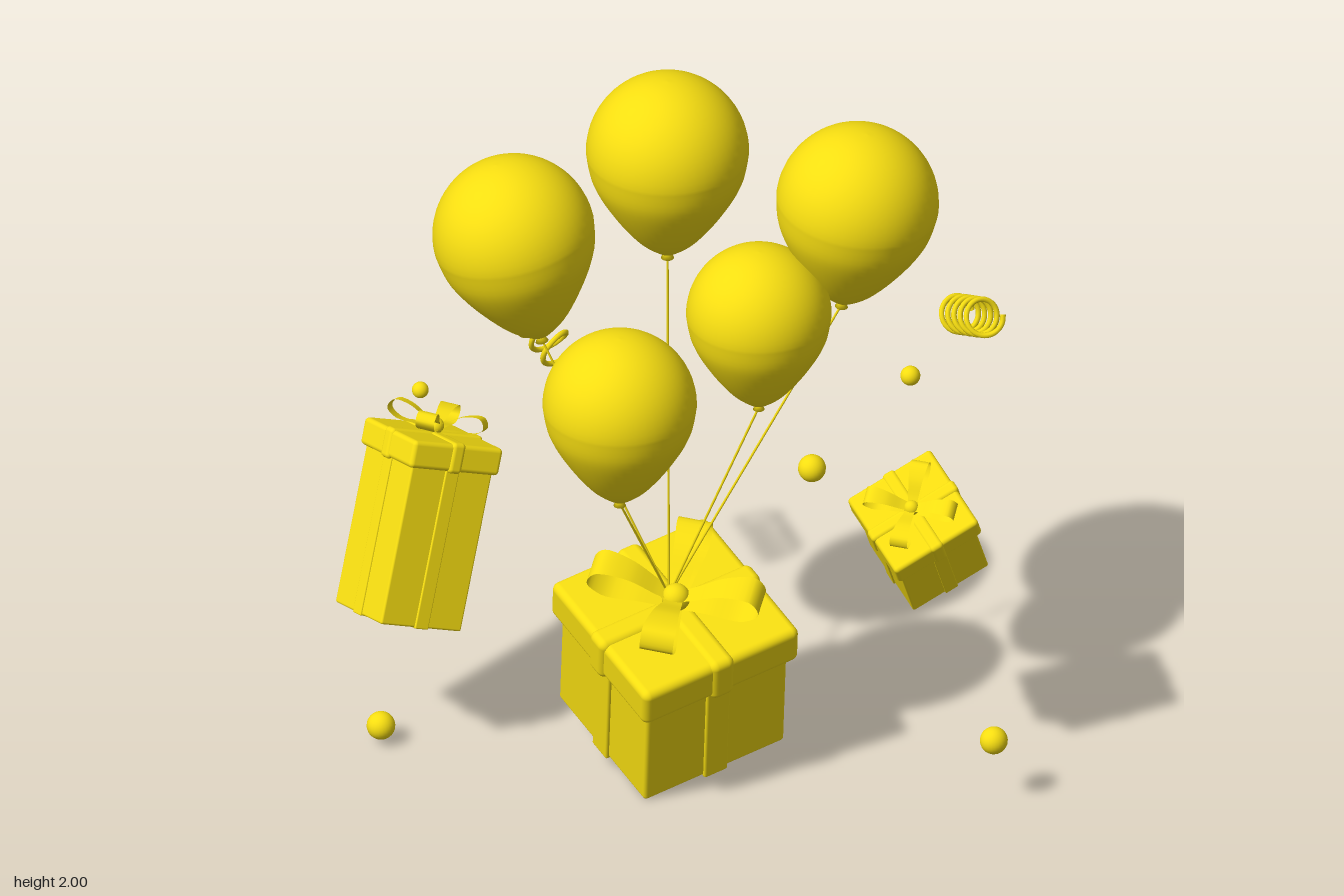
import * as THREE from 'three';
import { RoundedBoxGeometry } from 'three/addons/geometries/RoundedBoxGeometry.js';
import { ParametricGeometry } from 'three/addons/geometries/ParametricGeometry.js';

const yellow = new THREE.MeshStandardMaterial({ color: 0xf7de11 });
const yellowThin = new THREE.MeshStandardMaterial({ color: 0xf7de11, side: THREE.DoubleSide });
const V = (x, y, z) => new THREE.Vector3(x, y, z);

function part(parent, name, geometry, material = yellow) {
  const mesh = new THREE.Mesh(geometry, material);
  mesh.name = name;
  parent.add(mesh);
  return mesh;
}

// Closed teardrop of flat ribbon, widening outward along +x
function bowLoop(length, width) {
  const curve = new THREE.CatmullRomCurve3([
    V(0, 0.02, 0), V(0.4, 0.08, 0), V(0.8, 0.12, 0), V(1, 0.28, 0),
    V(0.9, 0.46, 0), V(0.55, 0.42, 0), V(0.2, 0.22, 0), V(0, 0.12, 0),
  ]);
  return new ParametricGeometry((u, v, target) => {
    const p = curve.getPoint(u);
    const w = width * (0.45 + 0.55 * Math.min(1, p.x * 1.2));
    target.set(p.x * length, p.y * length, (v - 0.5) * w);
  }, 36, 2);
}

// Gift box standing on its local origin, with lid, crossed ribbons and bow
function giftBox(name, { side, height, lidHeight, base, up, front }) {
  const box = new THREE.Group();
  box.name = name;
  const k = side / 0.41;
  const lidSide = side * 1.11;
  const bodyHeight = height - lidHeight * 0.5;
  const ribbon = 0.068 * k;
  const t = 0.008 * k;

  part(box, 'boxBody', new RoundedBoxGeometry(side, bodyHeight, side, 3, 0.01 * k)).position.y = bodyHeight / 2;
  part(box, 'boxLid', new RoundedBoxGeometry(lidSide, lidHeight, lidSide, 4, 0.02 * k)).position.y = height - lidHeight / 2;
  for (const turn of [0, Math.PI / 2]) {
    const bodyBand = part(box, 'bodyRibbon', new RoundedBoxGeometry(ribbon, bodyHeight + t, side + 2 * t, 2, 0.006 * k));
    bodyBand.position.y = bodyHeight / 2;
    bodyBand.rotation.y = turn;
    const lidBand = part(box, 'lidRibbon', new RoundedBoxGeometry(ribbon, lidHeight + 2 * t, lidSide + 2 * t, 4, 0.02 * k));
    lidBand.position.y = height - lidHeight / 2;
    lidBand.rotation.y = turn;
  }

  const bow = new THREE.Group();
  bow.name = 'bow';
  bow.position.y = height + t;
  for (let i = 0; i < 4; i++) {
    part(bow, 'bowLoop', bowLoop(0.22 * k, 0.085 * k), yellowThin).rotation.y = Math.PI / 4 + i * Math.PI / 2;
  }
  const knot = part(bow, 'bowKnot', new THREE.SphereGeometry(0.036 * k, 20, 14));
  knot.position.y = 0.025 * k;
  box.add(bow);

  // Orientation from the box's up direction and one side direction
  const y = V(...up).normalize();
  const x = V().crossVectors(y, V(...front)).normalize();
  const z = V().crossVectors(x, y);
  box.quaternion.setFromRotationMatrix(new THREE.Matrix4().makeBasis(x, y, z));
  box.position.set(...base);
  return box;
}

// Balloon of unit radius: half sphere above, taper and tied neck below
function balloonGeometry() {
  const lower = new THREE.SplineCurve([
    [0.045, -1.46], [0.16, -1.4], [0.42, -1.17], [0.72, -0.76], [0.93, -0.36], [1, 0],
  ].map(([x, y]) => new THREE.Vector2(x, y))).getPoints(24);
  const profile = [new THREE.Vector2(0, -1.53), new THREE.Vector2(0.08, -1.53), ...lower];
  for (let i = 1; i <= 16; i++) {
    const a = (i / 16) * Math.PI / 2;
    profile.push(new THREE.Vector2(Math.max(0, Math.cos(a)), Math.sin(a)));
  }
  return new THREE.LatheGeometry(profile, 48);
}

// Coiled streamer between two points
function coil(from, to, radius, turns) {
  const a = V(...from), b = V(...to);
  const axis = b.clone().sub(a).normalize();
  const n1 = V().crossVectors(axis, V(0, 1, 0)).normalize();
  const n2 = V().crossVectors(axis, n1);
  const points = [];
  const count = turns * 14;
  for (let i = 0; i <= count; i++) {
    const angle = (i / count) * turns * Math.PI * 2;
    points.push(a.clone().lerp(b, i / count)
      .addScaledVector(n1, radius * Math.cos(angle))
      .addScaledVector(n2, radius * Math.sin(angle)));
  }
  return new THREE.TubeGeometry(new THREE.CatmullRomCurve3(points), count * 3, 0.007, 8);
}

export function createModel() {
  const model = new THREE.Group();
  model.name = 'balloonsAndGifts';

  // Gift boxes
  model.add(
    giftBox('largeGift', {
      side: 0.41, height: 0.415, lidHeight: 0.11,
      base: [-0.027, 0.077, 0.022], up: [0.075, 0.96, 0.265], front: [0.666, -0.25, 0.7],
    }),
    giftBox('tallGift', {
      side: 0.235, height: 0.475, lidHeight: 0.07,
      base: [-0.69, 0.4, 0.19], up: [0.12, 0.91, -0.395], front: [0.633, 0.214, 0.742],
    }),
    giftBox('smallGift', {
      side: 0.22, height: 0.28, lidHeight: 0.07,
      base: [0.612, 0.58, -0.06], up: [-0.04, 0.81, 0.58], front: [0.13, -0.09, 0.13],
    }),
  );

  // Balloons: centre, radius, lean about z; strings meet at the large bow
  const anchor = V(-0.015, 0.5, 0.12);
  const shape = balloonGeometry();
  const balloons = [
    [-0.02, 1.796, 0.113, 0.204, 0],
    [-0.41, 1.506, 0.113, 0.204, 0.23],
    [0.435, 1.611, -0.03, 0.204, -0.13],
    [0.212, 1.345, 0.113, 0.182, 0],
    [-0.105, 1.159, 0.305, 0.193, 0],
  ];
  for (const [x, y, z, r, lean] of balloons) {
    const balloon = part(model, 'balloon', shape);
    balloon.position.set(x, y, z);
    balloon.scale.setScalar(r);
    balloon.rotation.z = lean;
    const tip = V(x + Math.sin(lean) * 1.5 * r, y - Math.cos(lean) * 1.5 * r, z);
    part(model, 'balloonString', new THREE.TubeGeometry(new THREE.LineCurve3(tip, anchor), 1, 0.003, 8));
  }

  // Floating beads
  const beads = [
    [-0.64, 1.05, 0.021], [0.605, 1.235, 0.025], [0.355, 0.935, 0.035],
    [0.817, 0.19, 0.035], [-0.74, 0.055, 0.036],
  ];
  for (const [x, y, r] of beads) {
    part(model, 'bead', new THREE.SphereGeometry(r, 24, 16)).position.set(x, y, 0.155);
  }

  // Coiled streamers
  part(model, 'leftStreamer', coil([0.71, 1.135, -0.31], [0.6, 1.035, -0.475], 0.045, 5));
  part(model, 'rightStreamer', coil([-0.5, 0.935, -0.465], [-0.345, 0.835, -0.35], 0.045, 4.5));

  return model;
}
